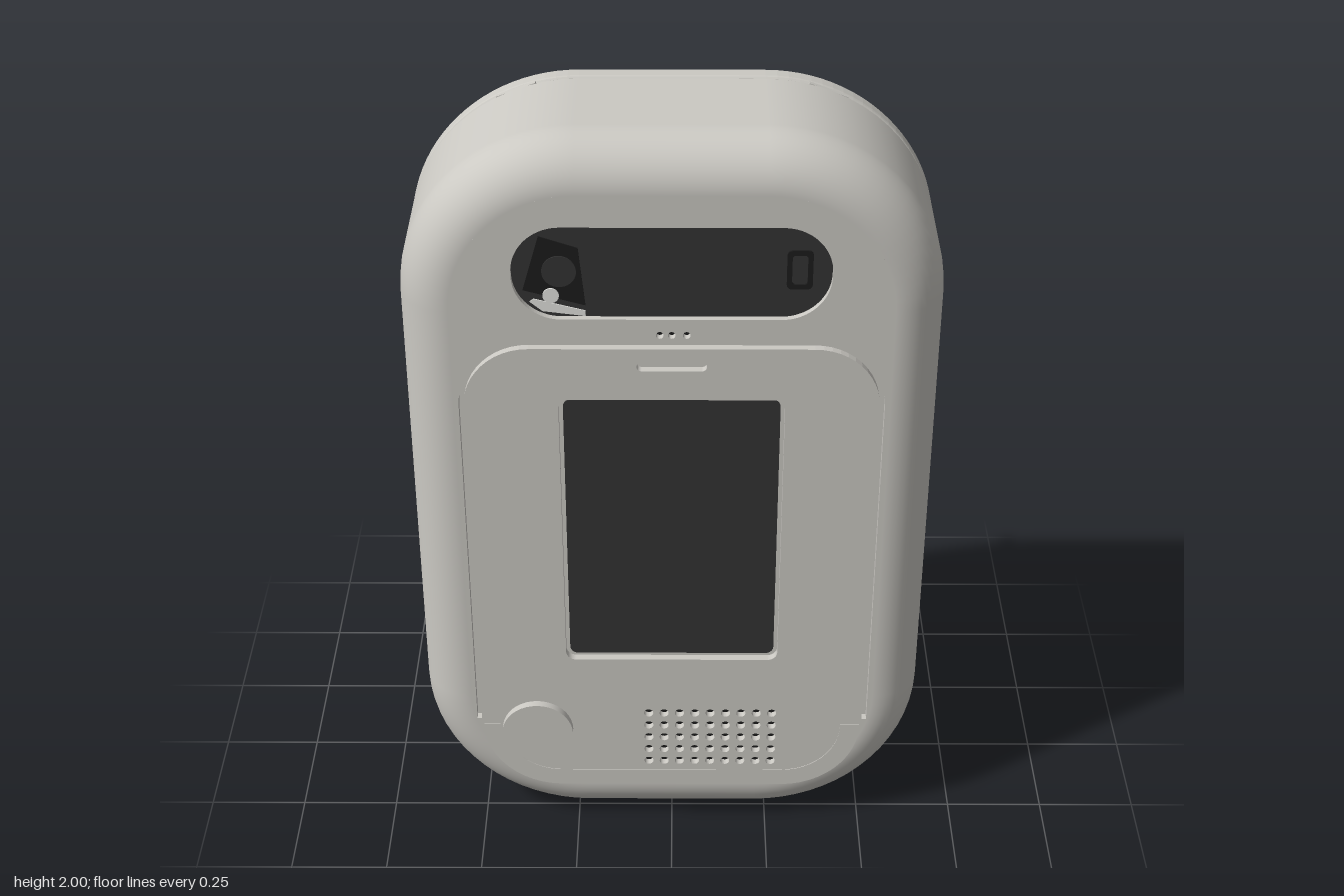
import * as THREE from 'three';

const mat = (name, color) => {
  const m = new THREE.MeshStandardMaterial({ color });
  m.name = name;
  return m;
};

// Overall case dimensions
const HW = 0.64, Y0 = 0.015, Y1 = 2, R = 0.42, FRONT = 0.32, SEAM = -0.05, FILLET = 0.12;

// Rounded rectangle added to a Shape or Path
function roundRect(p, x0, y0, x1, y1, r) {
  p.absarc(x1 - r, y1 - r, r, 0, Math.PI / 2, false);
  p.absarc(x0 + r, y1 - r, r, Math.PI / 2, Math.PI, false);
  p.absarc(x0 + r, y0 + r, r, Math.PI, Math.PI * 1.5, false);
  p.absarc(x1 - r, y0 + r, r, Math.PI * 1.5, Math.PI * 2, false);
  p.closePath();
  return p;
}
const rectShape = (...a) => roundRect(new THREE.Shape(), ...a);
const rectHole = (...a) => roundRect(new THREE.Path(), ...a);
const circleHole = (x, y, r) => new THREE.Path().absarc(x, y, r, 0, Math.PI * 2, false);
const caseShape = (inset) => rectShape(-HW + inset, Y0 + inset, HW - inset, Y1 - inset, R - inset);

// U-shaped band: arms end at yTip, closed side lies at yEnd
function uBand(target, hw, yEnd, yTip, r, w) {
  const s = Math.sign(yEnd - yTip), pts = [];
  const side = (h, y, rad) => {
    const out = [[h, yTip]];
    for (let i = 0; i <= 12; i++) {
      const a = (i / 12) * Math.PI / 2;
      out.push([h - rad + rad * Math.cos(a), y - s * rad * (1 - Math.sin(a))]);
    }
    return out.concat(out.slice().reverse().map(([x, yy]) => [-x, yy]));
  };
  pts.push(...side(hw, yEnd, r), ...side(hw - w, yEnd - s * w, r - w).reverse());
  return target.setFromPoints(pts.map(([x, y]) => new THREE.Vector2(x, y)));
}

function slab(shape, z0, z1, extra = {}) {
  const g = new THREE.ExtrudeGeometry(shape, { depth: z1 - z0, bevelEnabled: false, curveSegments: 12, ...extra });
  return g.translate(0, 0, z0);
}

// Side wall and front fillet, swept round the outline with true normals;
// the left-hand and bottom flats stay open for the slotted panels
function shellGeometry() {
  const N = 16, outline = [];
  [[1, 1], [-1, 1], [-1, -1], [1, -1]].forEach(([sx, sy], k) => {
    for (let i = 0; i <= N; i++) {
      const a = (k + i / N) * Math.PI / 2;
      outline.push([sx * (HW - R), (Y0 + Y1) / 2 + sy * ((Y1 - Y0) / 2 - R), Math.cos(a), Math.sin(a)]);
    }
  });
  const rows = [[0.015, SEAM, 0, -1], [0, SEAM, 0, -1], [0, SEAM, 1, 0]];
  for (let i = 0; i <= 12; i++) {
    const a = (i / 12) * Math.PI / 2, c = Math.cos(a), s = Math.sin(a);
    rows.push([FILLET * (1 - c), FRONT - FILLET + FILLET * s, c, s]);
  }
  const pos = [], nor = [], idx = [], M = outline.length;
  rows.forEach(([inset, z, nr, nz], i) => outline.forEach(([cx, cy, nx, ny], j) => {
    pos.push(cx + nx * (R - inset), cy + ny * (R - inset), z);
    nor.push(nx * nr, ny * nr, nz);
    const slotted = i === 2 && (j === 2 * N + 1 || j === 3 * N + 2);
    if (i === rows.length - 1 || i === 1 || slotted) return;
    const a = i * M + j, b = i * M + (j + 1) % M;
    idx.push(a, b, b + M, a, b + M, a + M);
  }));
  const g = new THREE.BufferGeometry();
  g.setAttribute('position', new THREE.Float32BufferAttribute(pos, 3));
  g.setAttribute('normal', new THREE.Float32BufferAttribute(nor, 3));
  g.setIndex(idx);
  return g;
}

export function createModel() {
  const shellGrey = mat('warm grey plastic', 0xcbc9c3);
  const dark = mat('dark glass', 0x333333);
  const black = mat('black', 0x1c1c1c);
  const green = mat('circuit green', 0x4f8a68);
  const white = mat('off white', 0xe4e4e0);
  const root = new THREE.Group();
  root.name = 'wallUnit';
  const add = (name, geo, material, x = 0, y = 0, z = 0) => {
    const m = new THREE.Mesh(geo, material);
    m.name = name;
    m.position.set(x, y, z);
    root.add(m);
    return m;
  };
  const disc = (name, r, x, y, z0, z1, material) =>
    add(name, new THREE.CylinderGeometry(r, r, z1 - z0, 40).rotateX(Math.PI / 2), material, x, y, (z0 + z1) / 2);

  // Case
  add('caseShell', shellGeometry(), shellGrey);
  add('innerCore', slab(caseShape(0.015), -0.07, 0.2), shellGrey);
  add('frontBacking', slab(caseShape(0.13), 0.19, 0.3), shellGrey);

  // Front face with all its openings
  const face = caseShape(FILLET);
  face.holes.push(
    rectHole(-0.37, 1.56, 0.37, 1.8, 0.115),
    rectHole(-0.27, 0.555, 0.27, 1.34, 0.025),
    rectHole(-0.083, 1.42, 0.083, 1.444, 0.0119),
    uBand(new THREE.Path(), 0.507, 1.492, 0.36, 0.17, 0.012),
  );
  for (const x of [-0.028, 0, 0.035]) face.holes.push(circleHole(x, 1.518, 0.009));
  for (let i = 0; i < 9; i++)
    for (let j = 0; j < 5; j++) face.holes.push(circleHole(-0.06 + i * 0.04, 0.216 + j * 0.0405, 0.012));
  add('frontFace', slab(face, 0.3, FRONT), shellGrey);
  add('frontLip', slab(uBand(new THREE.Shape(), 0.49, 0.135, 0.34, 0.2, 0.05), 0.27, 0.3215), shellGrey);

  // Dark layers behind the openings
  add('screen', slab(rectShape(-0.26, 0.565, 0.26, 1.33, 0.02), 0.295, 0.304), dark);
  add('speakerMesh', slab(rectShape(-0.08, 0.19, 0.28, 0.4, 0.01), 0.295, 0.302), black);
  add('microphone', slab(rectShape(-0.045, 1.505, 0.05, 1.531, 0.01), 0.295, 0.302), black);
  add('cameraWindow', slab(rectShape(-0.37, 1.56, 0.37, 1.8, 0.115), 0.295, 0.304), dark);

  // Camera and sensor inside the window
  const cut = new THREE.Shape([[-0.33, 1.6], [-0.3, 1.575], [-0.2, 1.562], [-0.2, 1.576], [-0.32, 1.607]]
    .map(([x, y]) => new THREE.Vector2(x, y)));
  add('cameraBracket', slab(cut, 0.302, 0.307), white);
  const mount = new THREE.Shape([[-0.345, 1.63], [-0.2, 1.59], [-0.215, 1.74], [-0.305, 1.77]]
    .map(([x, y]) => new THREE.Vector2(x, y)));
  add('cameraMount', slab(mount, 0.302, 0.306), black);
  disc('cameraLens', 0.04, -0.26, 1.68, 0.302, 0.309, dark);
  disc('statusLight', 0.019, -0.28, 1.617, 0.302, 0.31, white);
  const frame = rectShape(0.265, 1.635, 0.325, 1.735, 0.012);
  frame.holes.push(rectHole(0.277, 1.647, 0.313, 1.723, 0.008));
  add('sensorFrame', slab(frame, 0.302, 0.309), black);

  // Push button
  disc('button', 0.092, -0.35, 0.325, 0.3, 0.34, shellGrey);

  // Slotted panel on the side
  const sidePanel = new THREE.Shape([[SEAM, Y0 + R], [0.2, Y0 + R], [0.2, Y1 - R], [SEAM, Y1 - R]]
    .map(([x, y]) => new THREE.Vector2(x, y)));
  for (const top of [1.41, 0.96])
    for (let i = 0; i < 6; i++) {
      const y = top - i * 0.048;
      sidePanel.holes.push(rectHole(0.005, y - 0.009, 0.135, y + 0.009, 0.0088));
    }
  add('sideVentPanel', slab(sidePanel, HW - 0.015, HW), shellGrey).rotation.y = -Math.PI / 2;

  // Slotted panel underneath
  const e = HW - R;
  const basePanel = new THREE.Shape([[-e, SEAM], [e, SEAM], [e, 0.2], [-e, 0.2]]
    .map(([x, y]) => new THREE.Vector2(x, y)));
  for (let i = 0; i < 5; i++) {
    const x = -0.04 + (i - 2) * 0.045;
    basePanel.holes.push(rectHole(x - 0.009, 0, x + 0.009, 0.14, 0.0088));
  }
  add('baseVentPanel', slab(basePanel, -0.03, -Y0), shellGrey).rotation.x = Math.PI / 2;

  // Back plate, with a sight hole onto the circuit board
  const back = caseShape(0.01);
  back.holes.push(circleHole(0, 1.2, 0.095));
  add('backPlate', slab(back, -0.1, -0.07, {
    bevelEnabled: true, bevelSize: 0.01, bevelThickness: 0.01, bevelSegments: 3,
  }), shellGrey);
  disc('circuitBoard', 0.1, 0, 1.2, -0.08, -0.07, green);

  // Bridges interrupting the seam groove at each corner
  for (const sx of [-1, 1])
    for (const sy of [-1, 1]) {
      const a = 69 * Math.PI / 180, d = R - 0.011;
      const cy = (Y0 + Y1) / 2 + sy * ((Y1 - Y0) / 2 - R);
      const b = add('seamBridge', new THREE.BoxGeometry(0.02, 0.1, 0.012), shellGrey,
        sx * (HW - R + d * Math.cos(a)), cy + sy * d * Math.sin(a), -0.055);
      b.rotation.z = Math.atan2(sy * Math.sin(a), sx * Math.cos(a));
    }

  // Wall pegs, cable port and base screw
  for (const y of [1.485, 0.635]) disc('wallPeg', 0.02, 0, y, -0.34, -0.1, shellGrey);
  add('cablePort', new THREE.BoxGeometry(0.11, 0.028, 0.04), black, 0.21, 0.028, -0.092);
  add('baseScrew', new THREE.CylinderGeometry(0.028, 0.028, 0.02, 24), shellGrey, 0.06, 0.01, -0.038);

  return root;
}
